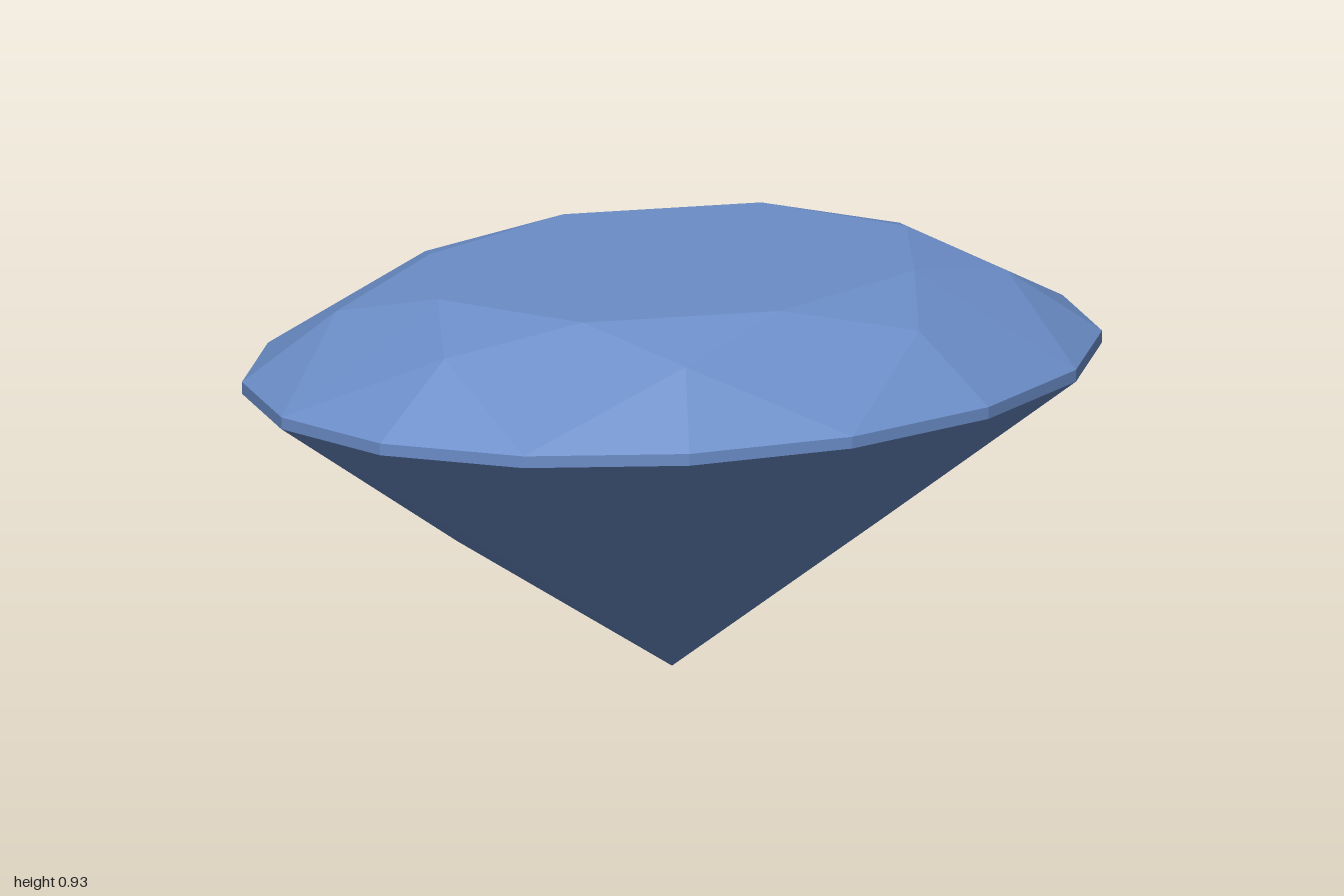
import * as THREE from 'three';

const HALF_WIDTH = 0.784, HALF_LENGTH = 1.005, TURN = 0.1;
const TABLE_Y = 0.925, CROWN_Y = 0.86, GIRDLE_TOP = 0.71, GIRDLE_BOTTOM = 0.683, PAVILION_Y = 0.3155;

// Point on a slightly turned oval; step counts sixteenths of a turn, from the back towards +x
function ovalPoint(step, scale, y) {
  const a = (step * Math.PI) / 8;
  const x = HALF_WIDTH * scale * Math.sin(a);
  const z = -HALF_LENGTH * scale * Math.cos(a);
  const c = Math.cos(TURN), s = Math.sin(TURN);
  return [x * c - z * s, y, z * c + x * s];
}

// Flat facets, each a convex loop of points, counter-clockwise from outside
function facetMesh(name, facets, material) {
  const positions = [];
  for (const loop of facets) {
    for (let i = 1; i < loop.length - 1; i++) positions.push(...loop[0], ...loop[i], ...loop[i + 1]);
  }
  const geometry = new THREE.BufferGeometry();
  geometry.setAttribute('position', new THREE.Float32BufferAttribute(positions, 3));
  geometry.computeVertexNormals();
  const mesh = new THREE.Mesh(geometry, material);
  mesh.name = name;
  return mesh;
}

export function createModel() {
  const gem = new THREE.Group();
  gem.name = 'ovalGem';
  const blue = new THREE.MeshStandardMaterial({ color: 0x6b8dc8 });
  blue.name = 'sapphireBlue';

  const table = (i) => ovalPoint(i, 0.6, TABLE_Y);
  const crown = (i) => ovalPoint(i, 0.78, CROWN_Y);
  const upper = (i) => ovalPoint(i, 1, GIRDLE_TOP);
  const lower = (i) => ovalPoint(i, 1, GIRDLE_BOTTOM);
  const pavilion = (i) => ovalPoint(i, 0.5, PAVILION_Y);
  const culet = [0, 0, 0];

  const tableLoop = [], crownFacets = [], girdleFacets = [], pavilionFacets = [];
  for (let i = 0; i < 16; i += 2) {
    tableLoop.unshift(table(i));
    crownFacets.push(
      [table(i), table(i + 2), crown(i + 1)].reverse(),               // star
      [table(i), crown(i + 1), upper(i), crown(i - 1)].reverse(),     // kite
      [crown(i + 1), upper(i + 1), upper(i)].reverse(),               // upper halves
      [crown(i + 1), upper(i + 2), upper(i + 1)].reverse(),
    );
    pavilionFacets.push(
      [culet, pavilion(i - 1), lower(i), pavilion(i + 1)],            // main
      [pavilion(i + 1), lower(i), lower(i + 1)],                      // lower halves
      [pavilion(i + 1), lower(i + 1), lower(i + 2)],
    );
  }
  for (let i = 0; i < 16; i++) girdleFacets.push([lower(i), upper(i), upper(i + 1), lower(i + 1)]);

  // The kites were listed clockwise from below, so turn every facet to face away from the core
  const outward = (loop) => {
    const [a, b, c] = loop.map((p) => new THREE.Vector3(...p));
    const normal = b.clone().sub(a).cross(c.clone().sub(a));
    const core = new THREE.Vector3(0, 0.6, 0);
    return normal.dot(a.clone().sub(core)) < 0 ? [...loop].reverse() : loop;
  };

  gem.add(
    facetMesh('table', [tableLoop].map(outward), blue),
    facetMesh('crown', crownFacets.map(outward), blue),
    facetMesh('girdle', girdleFacets.map(outward), blue),
    facetMesh('pavilion', pavilionFacets.map(outward), blue),
  );
  return gem;
}
